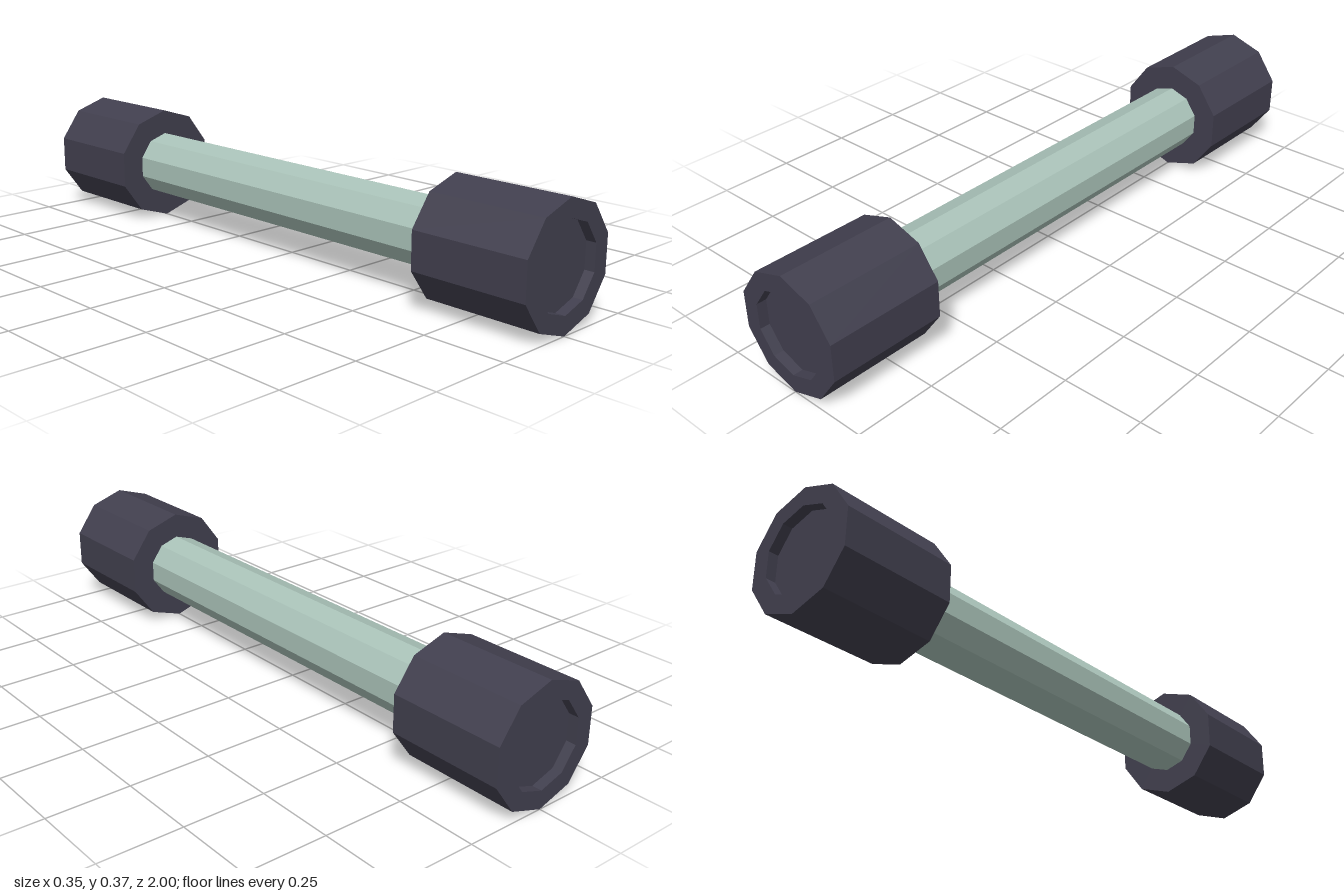
import * as THREE from 'three';

export function createModel() {
  const group = new THREE.Group();
  const sides = 10, centreY = 0.183;
  const capMat = new THREE.MeshStandardMaterial({ color: 0x413f4e, flatShading: true });
  capMat.name = 'dark cap';
  const rodMat = new THREE.MeshStandardMaterial({ color: 0xa9c2b8, flatShading: true });
  rodMat.name = 'pale green rod';

  // Ten-sided rod along z, a corner pointing straight up
  const rodGeo = new THREE.CylinderGeometry(0.104, 0.104, 1.28, sides, 1, true);
  rodGeo.rotateX(Math.PI / 2);
  const rod = new THREE.Mesh(rodGeo, rodMat);
  rod.name = 'rod';
  rod.position.y = centreY;
  group.add(rod);

  // End cap profile: closed inner face, outer wall, rim and shallow recess
  const profile = [
    [0, 0.636], [0.183, 0.636], [0.183, 1], [0.128, 1], [0.128, 0.97], [0, 0.97],
  ].map(([r, y]) => new THREE.Vector2(r, y));
  const capGeo = new THREE.LatheGeometry(profile, sides);
  capGeo.rotateX(Math.PI / 2);

  for (const [name, turn] of [['frontCap', 0], ['backCap', Math.PI]]) {
    const cap = new THREE.Mesh(capGeo, capMat);
    cap.name = name;
    cap.position.y = centreY;
    cap.rotation.y = turn;
    group.add(cap);
  }
  return group;
}
